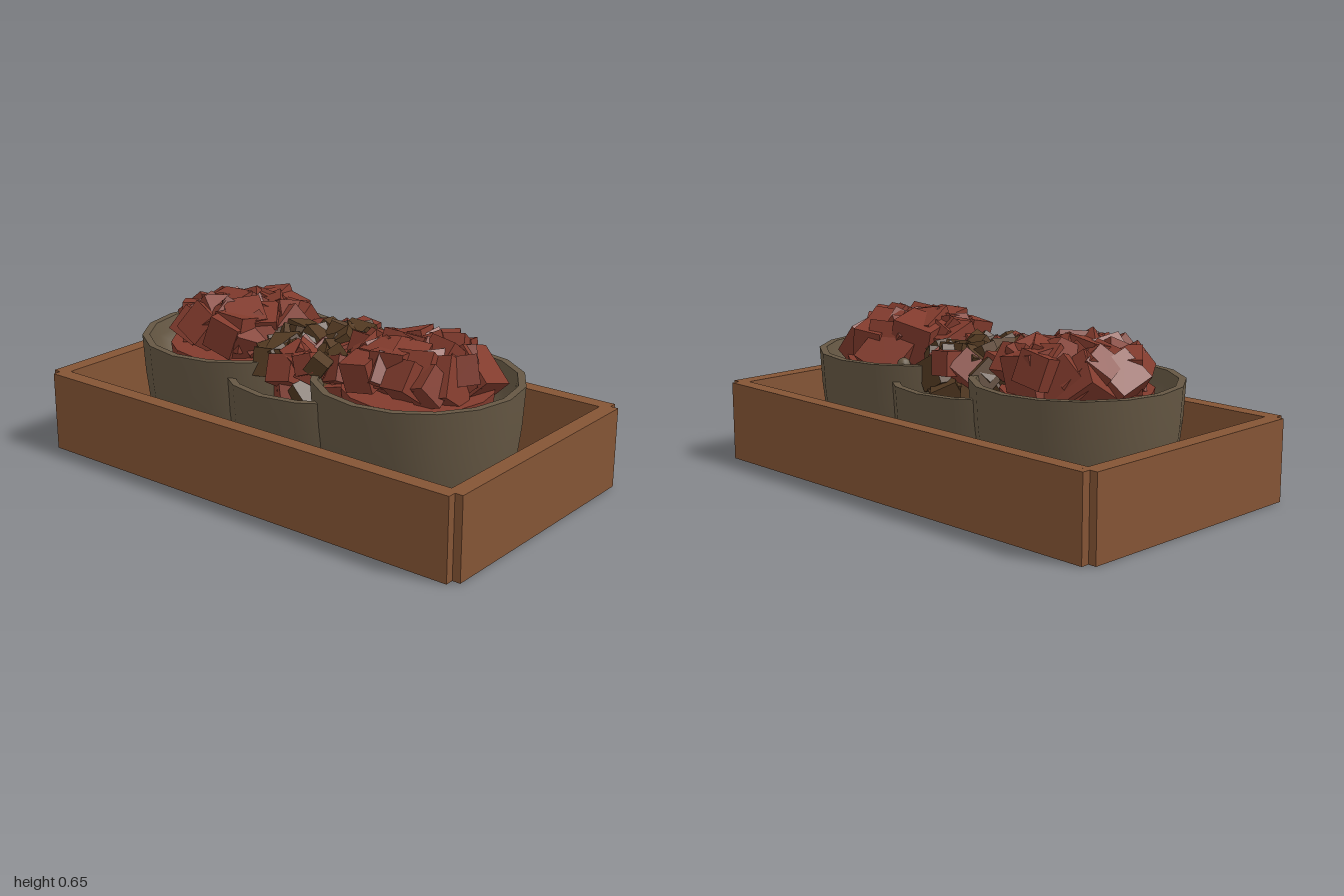
import * as THREE from 'three';

const mat = (name, color, extra = {}) => {
  const m = new THREE.MeshStandardMaterial({ color, ...extra });
  m.name = name;
  return m;
};

// Small seeded generator for the chunk piles
function seeded(seed) {
  let s = seed;
  return () => {
    s = (s * 1664525 + 1013904223) % 4294967296;
    return s / 4294967296;
  };
}

export function createModel() {
  const wood = mat('wood', 0x845435);
  const clay = mat('clay', 0x655743, { side: THREE.DoubleSide });
  const redMeat = mat('red chunk', 0x823b2d);
  const darkMeat = mat('dark chunk', 0x533a22);

  const model = new THREE.Group();
  model.name = 'servingTray';

  const add = (parent, name, geometry, material, x = 0, y = 0, z = 0) => {
    const mesh = new THREE.Mesh(geometry, material);
    mesh.name = name;
    mesh.position.set(x, y, z);
    parent.add(mesh);
    return mesh;
  };

  // Tray: floor plus four walls that stop short of each other at the corners
  const tray = new THREE.Group();
  tray.name = 'tray';
  model.add(tray);
  add(tray, 'trayFloor', new THREE.BoxGeometry(1.9, 0.03, 1.0), wood, 0, 0.015, 0);
  for (const s of [-1, 1]) {
    add(tray, s > 0 ? 'frontWall' : 'backWall',
      new THREE.BoxGeometry(1.935, 0.322, 0.062), wood, 0, 0.161, s * 0.526);
    add(tray, s > 0 ? 'leftWall' : 'rightWall',
      new THREE.BoxGeometry(0.065, 0.322, 1.046), wood, s * 0.9675, 0.161, 0);
  }

  // Bowl: outer wall with base, lip and inner wall as separate lathes so the lip stays crisp
  const lathe = pts => new THREE.LatheGeometry(pts.map(p => new THREE.Vector2(...p)), 16);
  function bowl(name, x, base, top) {
    const g = new THREE.Group();
    g.name = name;
    g.position.x = x;
    const h = top - base;
    add(g, 'outerWall', lathe([[0, base], [0.355, base], [0.378, base + h * 0.3],
      [0.396, base + h * 0.65], [0.405, top]]), clay);
    add(g, 'lip', lathe([[0.405, top], [0.376, top]]), clay);
    add(g, 'innerWall', lathe([[0.376, top], [0.364, top - 0.05],
      [0.342, top - 0.13], [0.27, top - 0.18]]), clay);
    model.add(g);
    return g;
  }

  // Pile of randomly turned cubes, each placed by its highest point and outer reach
  const cube = new THREE.BoxGeometry(1, 1, 1);
  function pile(parent, { seed, count, radius, sizes, peak, edge, gap, pick }) {
    const rnd = seeded(seed);
    for (let i = 0; i < count; i++) {
      const t = Math.pow((i + 0.5) / count, 0.42);
      const a = i * 2.39996 + rnd() * 0.5;
      const m = new THREE.Mesh(cube, redMeat);
      m.name = 'chunk';
      m.rotation.set(rnd() * 6.28, rnd() * 6.28, rnd() * 6.28);
      m.scale.setScalar(sizes[0] + (sizes[1] - sizes[0]) * rnd());
      m.updateMatrix();
      const e = m.matrix.elements;
      const reach = row => (Math.abs(e[row]) + Math.abs(e[row + 4]) + Math.abs(e[row + 8])) / 2;
      const r = t * (radius - Math.max(reach(0), reach(2)) * 0.9);
      const top = peak + (edge - peak) * t * t - rnd() * 0.03;
      m.position.set(Math.cos(a) * r, top - reach(1), Math.sin(a) * r);
      m.material = pick(m.position, rnd());
      // Leave a bare patch where the pebble lies
      if (!gap || Math.hypot(m.position.x - gap[0], m.position.z - gap[1]) > gap[2]) parent.add(m);
    }
  }

  // Two large bowls filled with red chunks
  for (const s of [-1, 1]) {
    const g = bowl(s > 0 ? 'leftBowl' : 'rightBowl', s * 0.44, 0.03, 0.47);
    add(g, 'filling', new THREE.CylinderGeometry(0.29, 0.28, 0.1, 16), redMeat, 0, 0.385, 0);
    const chunks = new THREE.Group();
    chunks.name = 'redChunks';
    g.add(chunks);
    pile(chunks, { seed: s > 0 ? 11 : 47, count: 32, radius: 0.305, sizes: [0.11, 0.18],
      peak: 0.66, edge: 0.615, gap: s > 0 && [-0.16, -0.2, 0.13], pick: () => redMeat });
  }

  // Lower middle bowl, tipped a hair, with a tan filling and two layers of small mixed chunks
  const middle = bowl('middleBowl', 0, 0, 0.405);
  middle.position.y = -0.0004;
  middle.rotation.set(-0.002, 0, -0.002);
  add(middle, 'filling', new THREE.CylinderGeometry(0.335, 0.3, 0.04, 16), wood, 0, 0.265, 0);
  const mixed = new THREE.Group();
  mixed.name = 'mixedChunks';
  middle.add(mixed);
  const pick = (p, k) => (k < (p.x + p.z > 0.08 ? 0.25 : 0.8) ? darkMeat : redMeat);
  pile(mixed, { seed: 23, count: 62, radius: 0.3, sizes: [0.07, 0.12], peak: 0.59, edge: 0.55, pick });
  pile(mixed, { seed: 5, count: 30, radius: 0.3, sizes: [0.09, 0.14], peak: 0.49, edge: 0.45, pick });

  // Small pebble where the bowls meet
  add(model, 'pebble', new THREE.SphereGeometry(0.027, 12, 8), clay, 0.24, 0.46, -0.255);

  return model;
}
